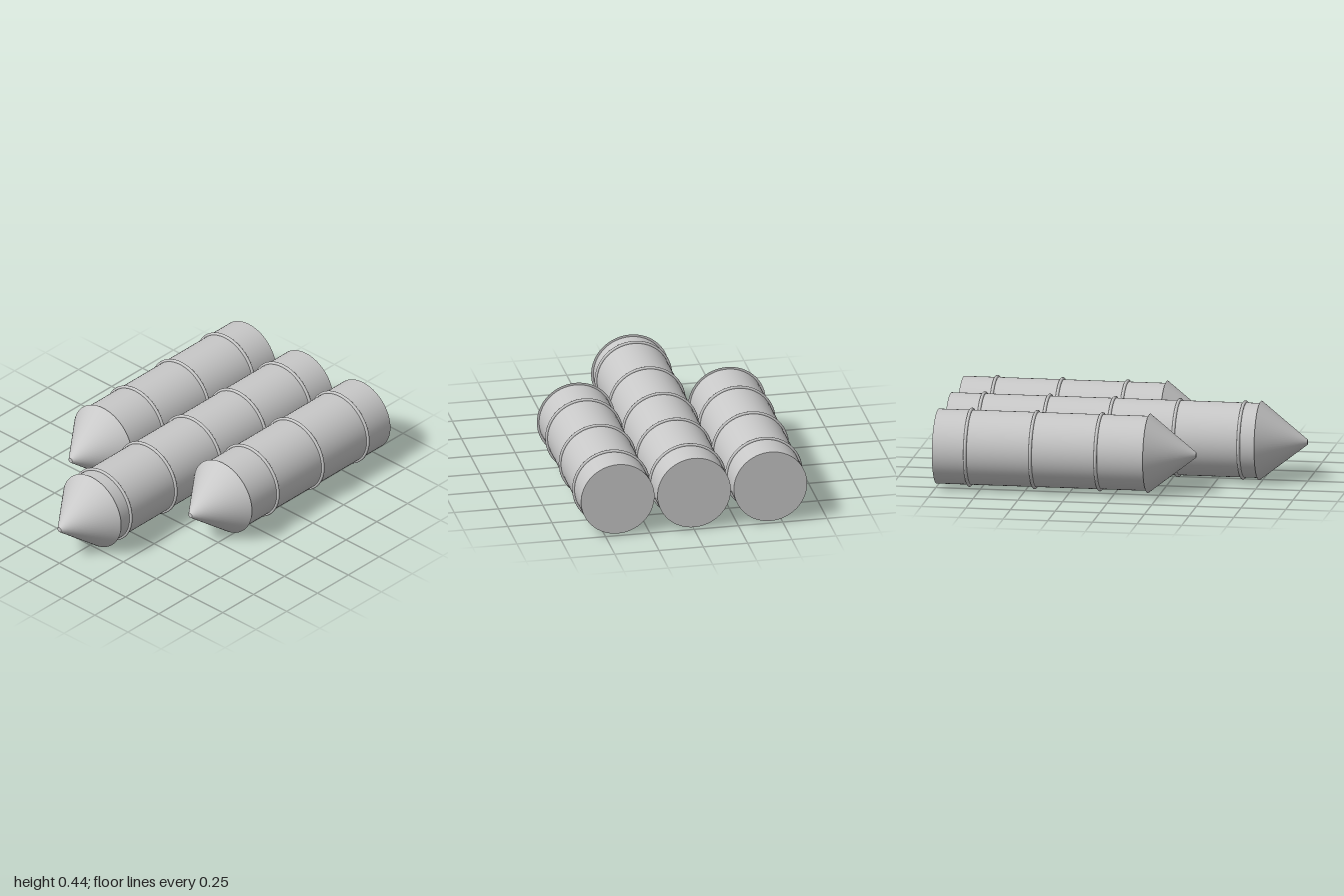
import * as THREE from 'three';

const SEGMENTS = 64;
const BACK = -1;
const BODY_RADIUS = 0.207;
const NOSE_RADIUS = 0.22;
const TIP_RADIUS = 0.014;
const NOSE_LENGTH = 0.265;
const RING_Z = [-0.815, -0.45, -0.085, 0.28, 0.645];

// One tube lying along z: body, hoop rings and a blunt conical nose
function createTube(name, x, noseBase, material) {
  const tube = new THREE.Group();
  tube.name = name;
  tube.position.set(x, 0.22, 0);

  const add = (part, geometry, z) => {
    const mesh = new THREE.Mesh(geometry, material);
    mesh.name = part;
    mesh.position.z = z;
    tube.add(mesh);
  };

  const length = noseBase - BACK;
  add('body',
    new THREE.CylinderGeometry(BODY_RADIUS, BODY_RADIUS, length, SEGMENTS).rotateX(Math.PI / 2),
    BACK + length / 2);

  // Nose is slightly wider than the body, leaving a small lip
  add('noseCone',
    new THREE.CylinderGeometry(TIP_RADIUS, NOSE_RADIUS, NOSE_LENGTH, SEGMENTS).rotateX(Math.PI / 2),
    noseBase + NOSE_LENGTH / 2);

  // Hoop rings, only where the body reaches
  for (const z of RING_Z) {
    if (z < noseBase) add('ring', new THREE.TorusGeometry(0.21, 0.009, 12, SEGMENTS), z);
  }
  return tube;
}

export function createModel() {
  const grey = new THREE.MeshStandardMaterial({ color: 0xc8c8c8 });
  grey.name = 'light grey';

  const model = new THREE.Group();
  model.name = 'tubeCluster';
  model.add(
    createTube('centreTube', 0, 0.735, grey),
    createTube('rightTube', -0.431, 0.182, grey),
    createTube('leftTube', 0.431, 0.137, grey),
  );
  return model;
}
